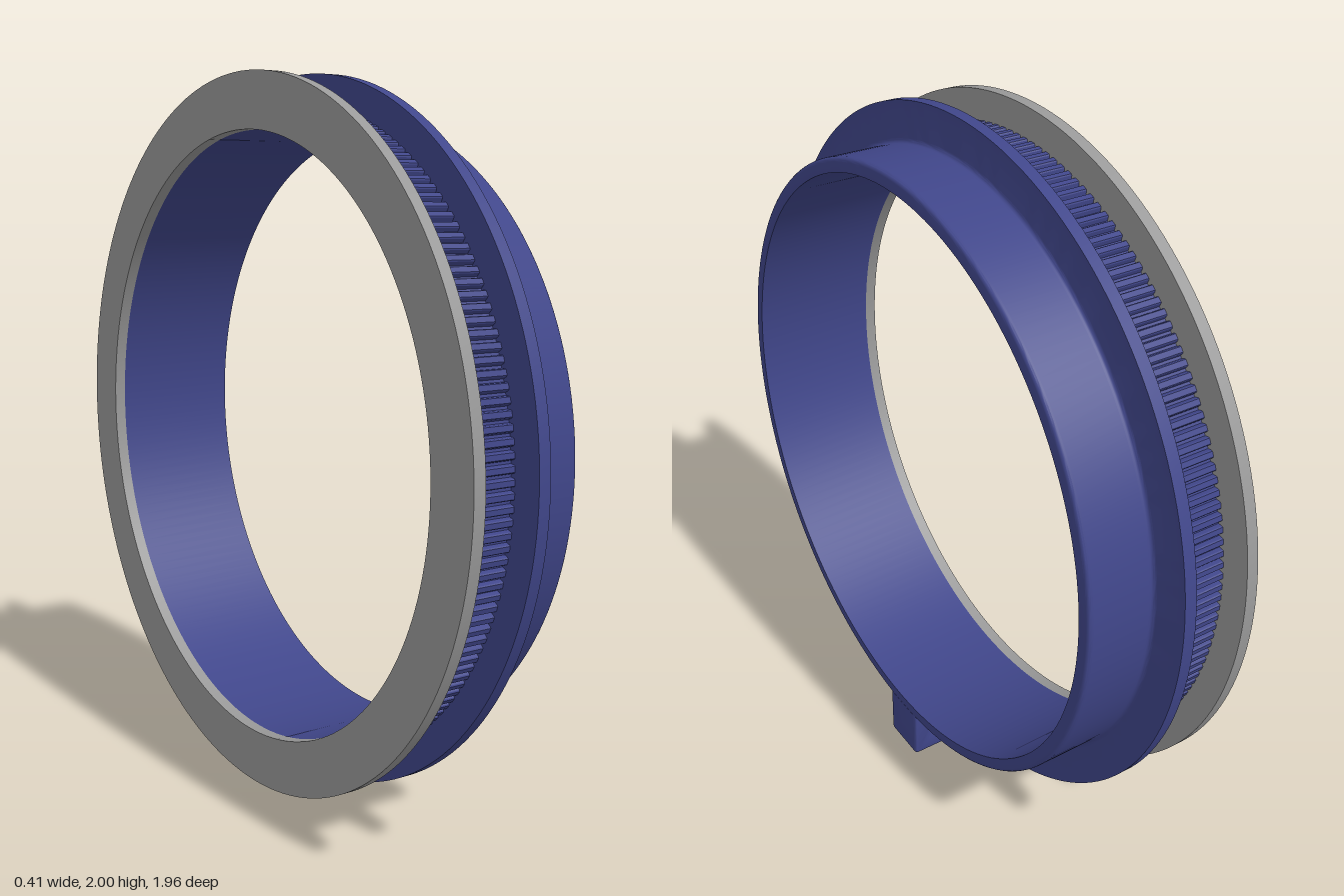
import * as THREE from 'three';
import { toCreasedNormals } from 'three/addons/utils/BufferGeometryUtils.js';

const CENTRE_Y = 1.02, BORE = 0.83, END = 0.203;

export function createModel() {
  const blue = new THREE.MeshStandardMaterial({ name: 'navy blue', color: 0x40468a });
  const grey = new THREE.MeshStandardMaterial({ name: 'grey', color: 0x999999 });
  const model = new THREE.Group();
  model.name = 'pulleyRing';

  const add = (name, geometry, material) => {
    const mesh = new THREE.Mesh(geometry, material);
    mesh.name = name;
    model.add(mesh);
    return mesh;
  };

  // Ring turned about the x axis from [radius, x] points
  const turned = (name, points, material) => {
    const profile = [...points, points[0]].map(([r, x]) => new THREE.Vector2(r, x));
    const mesh = add(name, toCreasedNormals(new THREE.LatheGeometry(profile, 180), 0.5), material);
    mesh.rotation.z = -Math.PI / 2;
    mesh.position.y = CENTRE_Y;
  };

  // Quarter arc of profile points
  const arc = (r, x, radius, from, to) => Array.from({ length: 5 }, (_, i) => {
    const a = from + (to - from) * i / 4;
    return [r + radius * Math.cos(a), x + radius * Math.sin(a)];
  });

  // Body: belt seat, flange and hub with filleted root and rounded rim
  turned('body', [
    [BORE, -0.172], [0.884, -0.172], [0.884, -0.018], [0.98, -0.018], [0.98, 0.016],
    ...arc(0.882, 0.028, 0.012, -Math.PI / 2, -Math.PI),
    ...arc(0.858, END - 0.012, 0.012, 0, Math.PI / 2),
    [BORE, END],
  ], blue);

  // Loose flange on the other side
  turned('endFlange', [[BORE, -0.205], [0.98, -0.205], [0.98, -0.172], [BORE, -0.172]], grey);

  // Belt teeth
  const TEETH = 180, step = Math.PI * 2 / TEETH;
  const tooth = [[0, 0.886], [0.22, 0.886], [0.3, 0.897], [0.38, 0.9], [0.82, 0.9], [0.9, 0.897]];
  const outline = [];
  for (let i = 0; i < TEETH; i++) {
    for (const [t, r] of tooth) {
      const a = (i + t) * step;
      outline.push(new THREE.Vector2(r * Math.cos(a), r * Math.sin(a)));
    }
  }
  const gear = new THREE.Shape(outline);
  gear.holes.push(new THREE.Path().absarc(0, 0, 0.87, 0, Math.PI * 2, true));
  const teeth = add('beltTeeth', new THREE.ExtrudeGeometry(gear, {
    depth: 0.154, bevelEnabled: false, curveSegments: 90,
  }), blue);
  teeth.rotation.y = Math.PI / 2;
  teeth.position.set(-0.172, CENTRE_Y, 0);

  // Clamp lug with a cross hole, at the bottom of the hub
  const x0 = 0.016, x1 = END, top = 0.16, r = 0.012, bevel = 0.01;
  const lug = new THREE.Shape();
  lug.moveTo(x0, top);
  lug.lineTo(x0, r);
  lug.quadraticCurveTo(x0, 0, x0 + r, 0);
  lug.lineTo(x1 - r, 0);
  lug.quadraticCurveTo(x1, 0, x1, r);
  lug.lineTo(x1, top);
  lug.closePath();
  lug.holes.push(new THREE.Path().absarc(0.11, 0.088, 0.028, 0, Math.PI * 2, true));
  const lugGeometry = new THREE.ExtrudeGeometry(lug, {
    depth: 0.146 - 2 * bevel, bevelThickness: bevel, bevelSize: bevel, bevelOffset: -bevel,
    bevelSegments: 3, curveSegments: 12,
  });
  lugGeometry.translate(0, 0, -(0.146 - 2 * bevel) / 2);
  add('clampLug', toCreasedNormals(lugGeometry, 0.6), blue);

  return model;
}
